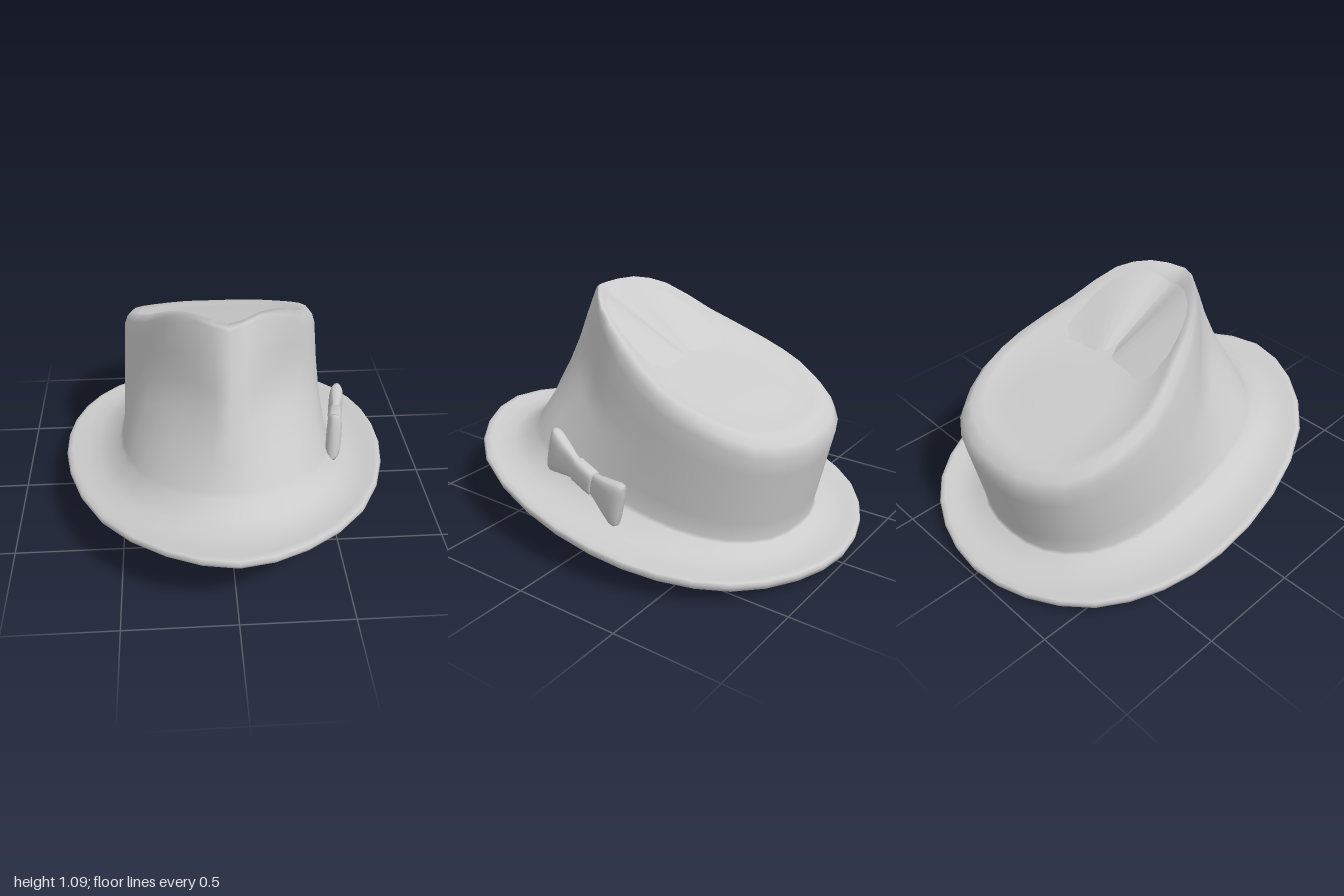
import * as THREE from 'three';

const material = new THREE.MeshStandardMaterial({ color: 0xcccccc });
const SEGMENTS = 32;

// Skin a list of equally long closed rings with smooth normals.
function loft(rings) {
  const n = rings[0].length, index = [];
  for (let i = 0; i < rings.length - 1; i++) {
    for (let j = 0; j < n; j++) {
      const a = i * n + j, b = i * n + (j + 1) % n;
      index.push(a, a + n, b, b, a + n, b + n);
    }
  }
  const geometry = new THREE.BufferGeometry().setFromPoints(rings.flat());
  geometry.setIndex(index);
  geometry.computeVertexNormals();
  return geometry;
}

function addMesh(parent, name, geometry) {
  const mesh = new THREE.Mesh(geometry, material);
  mesh.name = name;
  parent.add(mesh);
  return mesh;
}

// Half outlines run from the back centre, round the left side, to the front centre.
const outline = (xz, height) => xz.map(([x, z], i) =>
  new THREE.Vector3(x, typeof height === 'function' ? height(z) : height[i], z));
const blend = (a, b, t) => a.map((p, i) => p.clone().lerp(b[i], t));
const inset = (half, s, height, shift = 0) => half.map((p) => {
  const z = -0.25 + (p.z + 0.25) * s + shift;
  return new THREE.Vector3(p.x * s, height(z, p.y), z);
});

// Mirror a half outline and smooth it into a full ring.
function fullRing(half) {
  const mirrored = half.slice(1, -1).reverse().map((p) => new THREE.Vector3(-p.x, p.y, p.z));
  const curve = new THREE.CatmullRomCurve3([...half, ...mirrored], true);
  return Array.from({ length: SEGMENTS }, (_, i) => curve.getPoint(i / SEGMENTS));
}

function hatGeometry() {
  const edge = outline([[0, -1], [0.3, -0.94], [0.57, -0.77], [0.73, -0.51], [0.79, -0.2],
    [0.75, 0.2], [0.58, 0.62], [0.3, 0.89], [0, 0.995]], (z) => 0.19 + 0.138 * z);
  const base = outline([[0, -0.77], [0.2, -0.74], [0.37, -0.62], [0.47, -0.42], [0.5, -0.18],
    [0.49, 0.12], [0.4, 0.41], [0.21, 0.59], [0, 0.645]], (z) => 0.29 + 0.21 * z);
  const shoulder = outline([[0, -0.855], [0.17, -0.84], [0.36, -0.74], [0.465, -0.54],
    [0.475, -0.32], [0.385, -0.05], [0.27, 0.15], [0.14, 0.27], [0, 0.365]],
  [0.53, 0.54, 0.57, 0.65, 0.72, 0.84, 0.99, 1.06, 1.05]);
  const crest = outline([[0, -0.785], [0.16, -0.775], [0.33, -0.69], [0.425, -0.51],
    [0.435, -0.31], [0.345, -0.05], [0.25, 0.15], [0.13, 0.26], [0, 0.335]],
  [0.62, 0.625, 0.655, 0.73, 0.805, 0.93, 1.05, 1.09, 1.075]);

  // Crown walls with a pinch on either side of a slightly full front.
  const pinch = [0, 0, 0, 0, 0, 0.02, 0.09, 0.06, -0.025];
  const walls = [0, 0.2, 0.4, 0.6, 0.8, 1].map((t) => {
    const depth = Math.sin(Math.PI * t) ** 2;
    return blend(base, shoulder, t).map((p, i) => {
      if (p.x > 0) p.x -= pinch[i] * depth * 0.75;
      p.z -= pinch[i] * depth * 0.65;
      return p;
    });
  });
  const rim = blend(shoulder, crest, 0.55);
  rim.forEach((p, i) => {
    p.x += (shoulder[i].x - crest[i].x) * 0.2;
    p.z += (shoulder[i].z - crest[i].z) * 0.2;
  });

  // Top, flush at the back and sunken behind the front peak.
  const floor = (z) => 0.86 + 0.3 * z;
  const dish = [[0.9, 0.65], [0.75, 0.28], [0.58, 0.07], [0.35, 0], [0, 0]].map(([s, k]) =>
    inset(crest, s, (z, y) => y * k + floor(z) * (1 - k)));

  // The brim sweeps up into the crown and dips a little before the edge:
  // t = 0 at the crown, 1 at the edge.
  const sweep = (t, z) => (0.082 + 0.067 * z) * (1 - t) ** 3;
  const over = (z) => 0.208 + 0.14 * z;
  const under = (z) => Math.max(0, 0.163 + 0.155 * z - 0.035 * z * z);
  const brimTop = (t) => inset(blend(base, edge, t), 1,
    (z) => over(z) + sweep(t, z) - 0.014 * Math.sin(Math.PI * t));
  const brimUnderside = (t) => inset(blend(base, edge, t), 0.97,
    (z) => under(z) + sweep(t, z));

  // Lining with a plain wall and a ceiling that follows the top.
  const lining = [
    ...[...dish, crest].reverse().map((r) => inset(r, 0.95, (z, y) => y - 0.035)),
    ...[walls[5], walls[3], walls[0]].map((r) => inset(r, 0.96, (z, y) => y - 0.015)),
  ];
  const brim = [
    ...[0.12, 0.3, 0.55].map(brimUnderside),
    inset(edge, 0.93, under, 0.035),
    inset(edge, 0.99, (z) => 0.168 + 0.14 * z),
    edge,
    inset(edge, 0.99, (z) => 0.203 + 0.139 * z),
    inset(edge, 0.965, over),
    ...[0.7, 0.45, 0.28, 0.15, 0.06].map(brimTop),
  ];
  return loft([...lining, ...brim, ...walls, rim, crest, ...dish].map(fullRing));
}

// Rounded-box sections along x, each given as [x, half height, half depth].
function sectionLoft(sections) {
  const soft = (v) => Math.sign(v) * Math.abs(v) ** 0.6;
  return loft(sections.map(([x, h, d]) => Array.from({ length: 20 }, (_, j) => {
    const a = j / 20 * Math.PI * 2;
    return new THREE.Vector3(x, h * soft(Math.cos(a)), -d * soft(Math.sin(a)));
  })));
}

function createBow() {
  const bow = new THREE.Group();
  bow.name = 'bow';
  const wing = sectionLoft([[0.03, 0, 0], [0.03, 0.045, 0.018], [0.1, 0.066, 0.024],
    [0.17, 0.091, 0.034], [0.22, 0.11, 0.036], [0.245, 0.113, 0.026],
    [0.254, 0.1, 0.012], [0.254, 0, 0]]);
  addMesh(bow, 'rearBowWing', wing);
  addMesh(bow, 'frontBowWing', wing).rotation.y = Math.PI;
  addMesh(bow, 'bowKnot', sectionLoft([[-0.066, 0, 0], [-0.066, 0.05, 0.025],
    [-0.058, 0.059, 0.033], [0.058, 0.059, 0.033], [0.066, 0.05, 0.025], [0.066, 0, 0]]));
  // The bow follows the slope of the brim and the side of the crown.
  const along = new THREE.Vector3(0.1, -0.125, -0.49).normalize();
  const out = new THREE.Vector3().crossVectors(along, new THREE.Vector3(0, 1, 0)).normalize();
  const up = new THREE.Vector3().crossVectors(out, along);
  bow.quaternion.setFromRotationMatrix(new THREE.Matrix4().makeBasis(along, up, out));
  bow.position.set(0.545, 0.348, 0.02);
  return bow;
}

export function createModel() {
  const model = new THREE.Group();
  model.name = 'hat';
  addMesh(model, 'crownAndBrim', hatGeometry());
  model.add(createBow());
  return model;
}
